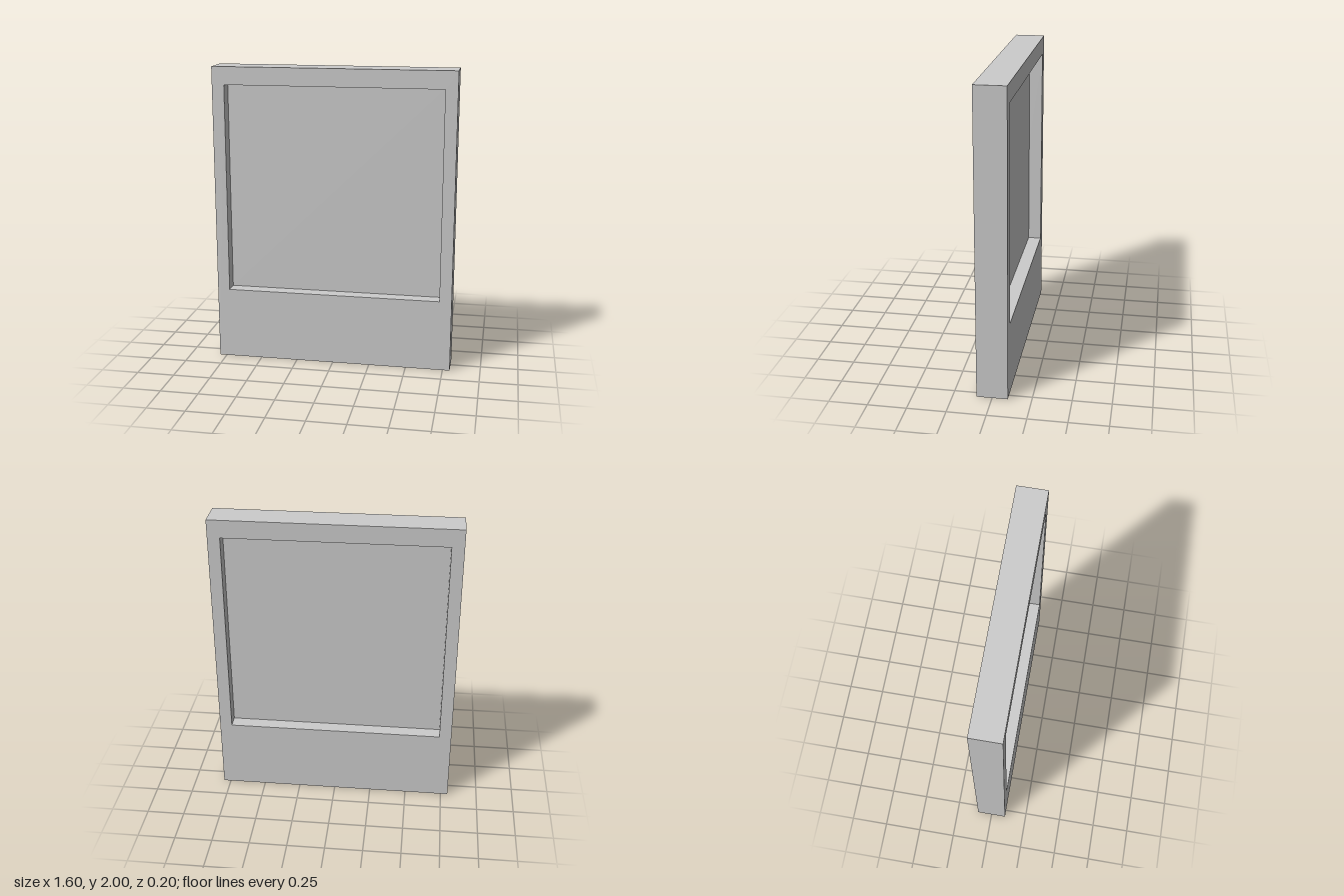
import * as THREE from 'three';

const W = 1.596, H = 2, D = 0.2; // outer size
const WIN = { x: 0.717, bottom: 0.483, top: 1.882 }; // window opening
const PANEL = 0.02; // picture thickness

export function createModel() {
  const group = new THREE.Group();
  const material = new THREE.MeshStandardMaterial({ color: 0xcccccc });

  // Frame with a wide lower border and a rectangular opening
  const outline = new THREE.Shape();
  outline.moveTo(-W / 2, 0).lineTo(W / 2, 0).lineTo(W / 2, H).lineTo(-W / 2, H).closePath();
  const opening = new THREE.Path();
  opening.moveTo(-WIN.x, WIN.bottom).lineTo(-WIN.x, WIN.top)
    .lineTo(WIN.x, WIN.top).lineTo(WIN.x, WIN.bottom).closePath();
  outline.holes.push(opening);
  const frameGeometry = new THREE.ExtrudeGeometry(outline, { depth: D, bevelEnabled: false });
  frameGeometry.translate(0, 0, -D / 2);
  const frame = new THREE.Mesh(frameGeometry, material);
  frame.name = 'frame';

  // Thin picture panel, recessed from both faces
  const panel = new THREE.Mesh(
    new THREE.BoxGeometry(WIN.x * 2, WIN.top - WIN.bottom, PANEL), material);
  panel.position.y = (WIN.top + WIN.bottom) / 2;
  panel.name = 'picturePanel';

  group.add(frame, panel);
  return group;
}
